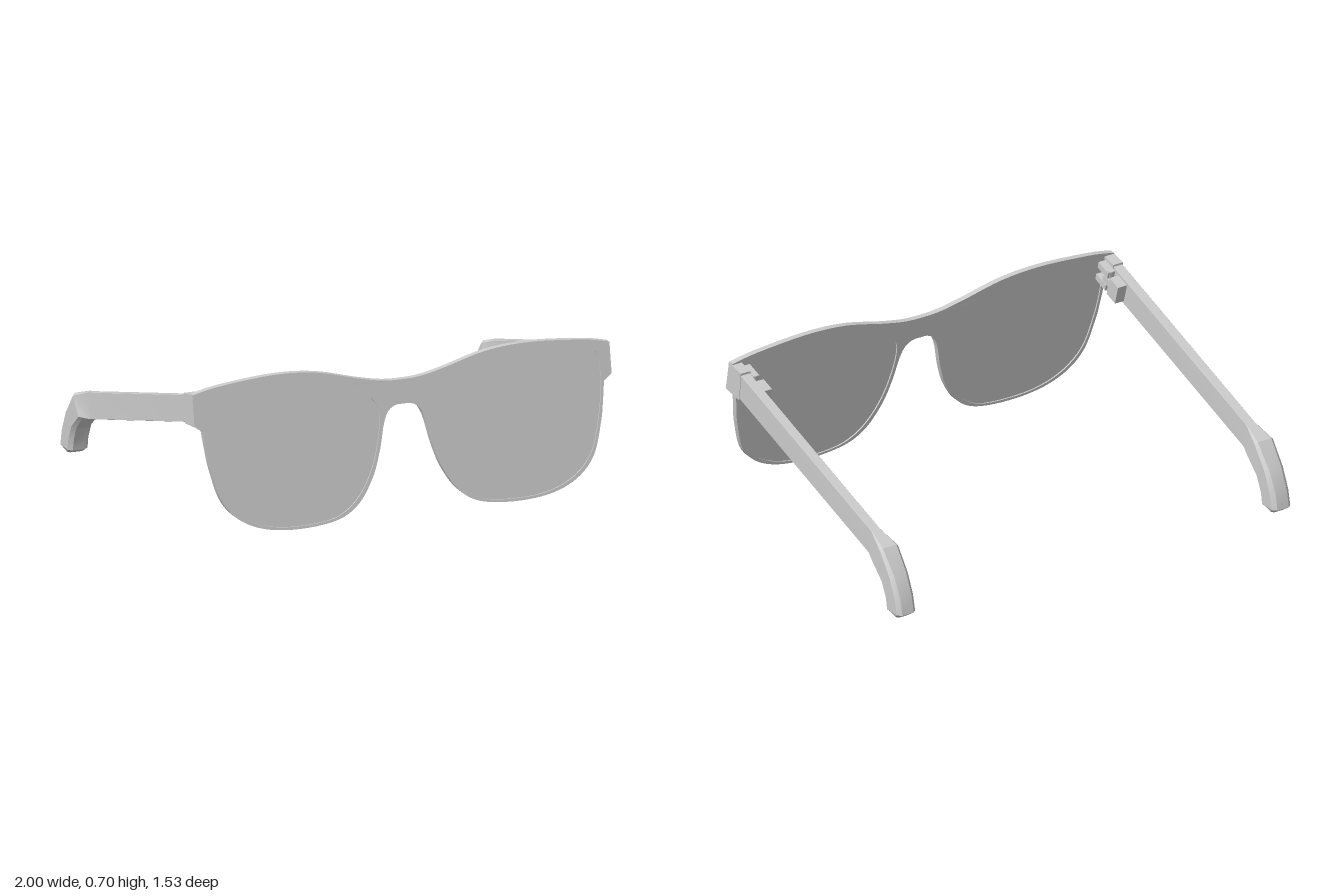
import * as THREE from 'three';
import { toCreasedNormals } from 'three/addons/utils/BufferGeometryUtils.js';

const grey = new THREE.MeshStandardMaterial({ color: 0xcccccc });
const vec = ([x, y]) => new THREE.Vector2(x, y);

function addMesh(parent, name, geometry, crease = 0.5) {
  const mesh = new THREE.Mesh(toCreasedNormals(geometry, crease), grey);
  mesh.name = name;
  parent.add(mesh);
  return mesh;
}

// Extrude a front outline and lean it so that its lower edge comes forward.
function leaningPlate(shape, depth, back) {
  const geo = new THREE.ExtrudeGeometry(shape, { depth, bevelEnabled: false, curveSegments: 48 });
  const p = geo.attributes.position;
  for (let i = 0; i < p.count; i++) {
    p.setZ(i, p.getZ(i) + back + (0.7 - p.getY(i)) * 0.167);
  }
  return geo;
}

// Half outlines on the -x side
const browLine = [[-0.975, 0.665], [-0.85, 0.688], [-0.6, 0.707], [-0.4, 0.694], [-0.2, 0.645], [-0.09, 0.623]];
const lowerLine = [[-0.94, 0.5], [-0.93, 0.42], [-0.915, 0.33], [-0.872, 0.19], [-0.79, 0.1], [-0.665, 0.048],
  [-0.5, 0.033], [-0.335, 0.052], [-0.235, 0.11], [-0.163, 0.215], [-0.123, 0.325], [-0.098, 0.43], [-0.075, 0.485], [-0.04, 0.51]];
const lensLine = [[-0.92, 0.6], [-0.895, 0.645], [-0.83, 0.674], [-0.6, 0.682], [-0.35, 0.655], [-0.2, 0.595],
  [-0.125, 0.525], [-0.115, 0.46], [-0.138, 0.33], [-0.18, 0.22], [-0.25, 0.122], [-0.34, 0.064], [-0.5, 0.045],
  [-0.66, 0.06], [-0.78, 0.113], [-0.86, 0.2], [-0.902, 0.335], [-0.924, 0.48]];

const mirrored = (half, middle) => [...half, middle, ...half.map(([x, y]) => [-x, y]).reverse()].map(vec);

function lensPoints(side) {
  const curve = new THREE.CatmullRomCurve3(
    lensLine.map(([x, y]) => new THREE.Vector3(-side * x, y, 0)), true, 'centripetal');
  return curve.getPoints(72).slice(0, -1).map((p) => new THREE.Vector2(p.x, p.y));
}

function frameShape() {
  const brow = mirrored(browLine, [0, 0.618]).reverse();
  const shape = new THREE.Shape();
  shape.moveTo(brow[0].x, brow[0].y);
  shape.splineThru(brow.slice(1));
  shape.lineTo(-0.975, 0.525);
  const lower = mirrored(lowerLine, [0, 0.513]);
  shape.lineTo(lower[0].x, lower[0].y);
  shape.splineThru(lower.slice(1));
  shape.lineTo(0.975, 0.525);
  for (const side of [1, -1]) shape.holes.push(new THREE.Path(lensPoints(side)));
  return shape;
}

// Temple arm: chamfered cross-sections from the hinge to the hooked ear tip.
// Each row: top z, top y, bottom z, bottom y, half width, chamfer
const stations = [
  [0.585, 0.645, 0.61, 0.53, 0.0225, 0.001],
  [-0.5, 0.337, -0.48, 0.221, 0.0225, 0.001],
  [-0.615, 0.304, -0.54, 0.206, 0.047, 0.012],
  [-0.7, 0.205, -0.612, 0.14, 0.047, 0.016],
  [-0.748, 0.11, -0.642, 0.075, 0.047, 0.018],
  [-0.765, 0.035, -0.65, 0.03, 0.047, 0.018],
  [-0.72, 0.004, -0.67, 0.016, 0.03, 0.01],
];

function templeGeometry() {
  const pos = [], index = [], n = 8;
  for (const [tz, ty, bz, by, w, c] of stations) {
    const h = Math.hypot(tz - bz, ty - by);
    const t = c / h;
    const ring = [[w, t], [w, 1 - t], [w - c, 1], [c - w, 1], [-w, 1 - t], [-w, t], [c - w, 0], [w - c, 0]];
    for (const [x, k] of ring) pos.push(x, by + (ty - by) * k, bz + (tz - bz) * k);
  }
  for (let s = 0; s < stations.length - 1; s++) {
    for (let i = 0; i < n; i++) {
      const a = s * n + i, b = s * n + (i + 1) % n;
      index.push(a, a + n, b, b, a + n, b + n);
    }
  }
  const last = (stations.length - 1) * n;
  for (let i = 1; i < n - 1; i++) {
    index.push(0, i, i + 1, last, last + i + 1, last + i);
  }
  const geo = new THREE.BufferGeometry();
  geo.setAttribute('position', new THREE.Float32BufferAttribute(pos, 3));
  geo.setIndex(index);
  return geo;
}

// Block joining the front frame to the temple, drawn as a side profile
function endBlockGeometry() {
  const profile = new THREE.Shape([[-0.682, 0.526], [-0.575, 0.514], [-0.562, 0.648], [-0.657, 0.664]].map(vec));
  const geo = new THREE.ExtrudeGeometry(profile, { depth: 0.05, bevelEnabled: false });
  return geo.translate(0, 0, -0.025).rotateY(Math.PI / 2);
}

export function createModel() {
  const model = new THREE.Group();
  model.name = 'glasses';
  addMesh(model, 'frontFrame', leaningPlate(frameShape(), 0.028, 0.625));

  for (const side of [1, -1]) {
    const label = side > 0 ? 'left' : 'right';
    addMesh(model, label + 'Lens', leaningPlate(new THREE.Shape(lensPoints(side)), 0.016, 0.632));
    addMesh(model, label + 'EndBlock', endBlockGeometry()).position.x = side * 0.953;

    // The left arm is very slightly shorter
    const temple = addMesh(model, label + 'Temple', templeGeometry(), 0.35);
    const k = side > 0 ? 0.985 : 1;
    temple.scale.set(1, k, k);
    temple.position.set(side * 0.953, 0.59 * (1 - k), 0.6 * (1 - k));

    // Hinge: leaf on the arm, two lugs on the frame, and a pin
    const hinge = new THREE.Group();
    hinge.name = label + 'Hinge';
    hinge.position.set(side * 0.91, 0.58, 0.57);
    hinge.rotation.x = -0.275;
    model.add(hinge);
    addMesh(hinge, 'armLeaf', new THREE.BoxGeometry(0.05, 0.09, 0.07)).position.set(0, 0, -0.07);
    addMesh(hinge, 'armLug', new THREE.BoxGeometry(0.036, 0.03, 0.06)).position.set(0, 0, -0.01);
    for (const y of [-0.034, 0.034]) {
      addMesh(hinge, 'frameLug', new THREE.BoxGeometry(0.036, 0.03, 0.08)).position.set(0, y, 0.03);
    }
    addMesh(hinge, 'hingePin', new THREE.CylinderGeometry(0.014, 0.014, 0.105, 12));
  }
  return model;
}
